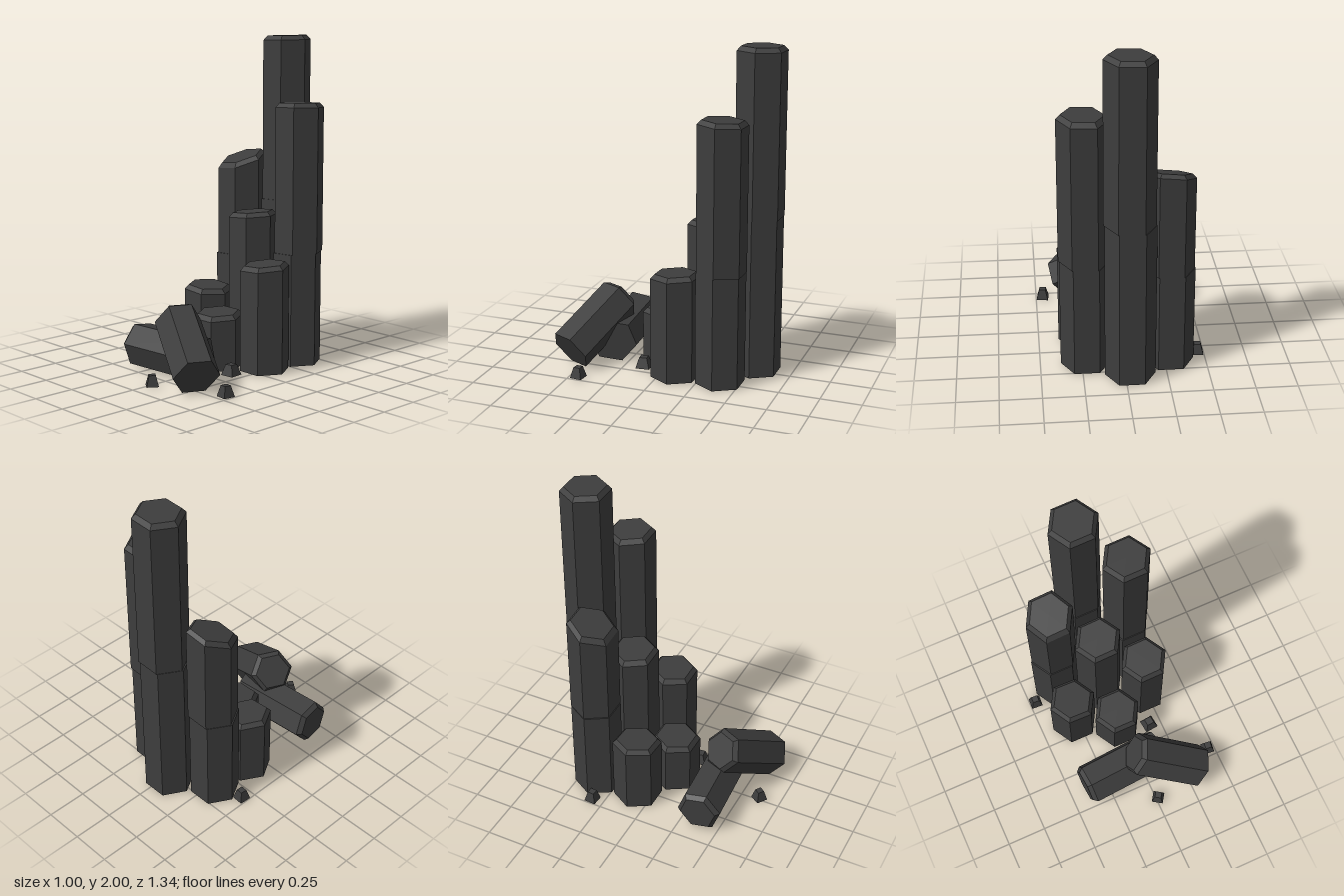
import * as THREE from 'three';

const basalt = new THREE.MeshStandardMaterial({ color: 0x3d3d3d });
basalt.name = 'dark basalt';

function facetedMesh(geometry, name) {
  const flat = geometry.toNonIndexed();
  flat.computeVertexNormals();
  const mesh = new THREE.Mesh(flat, basalt);
  mesh.name = name;
  return mesh;
}

// Hexagonal prism standing on y = 0; the top is chamfered and slopes by (topX, topZ),
// the base end slopes by baseX along its local x.
function hexPrism(name, { r = 0.152, h, bevel = 0.027, topX = 0, topZ = 0, baseX = 0 }) {
  const profile = [[0, 0], [r, 0], [r, h - bevel]];
  if (bevel > 0) profile.push([r - bevel * 0.95, h]);
  profile.push([0, h]);
  const geo = new THREE.LatheGeometry(
    profile.map(([x, y]) => new THREE.Vector2(x, y)), 6, Math.PI / 2);
  const p = geo.attributes.position;
  for (let i = 0; i < p.count; i++) {
    const x = p.getX(i), y = p.getY(i), z = p.getZ(i);
    p.setY(i, y > h / 2 ? y + x * topX + z * topZ : y + x * baseX);
  }
  return facetedMesh(geo, name);
}

export function createModel() {
  const model = new THREE.Group();
  model.name = 'basaltColumns';

  // Standing columns: x, z, height, top slope in x and z, height of the crack (0 = none)
  const columns = [
    ['backColumn', -0.025, -0.532, 1.995, 0.03, 0, 0.98],
    ['leftBackColumn', 0.23, -0.383, 1.603, 0.04, 0.04, 0.69],
    ['rightBackColumn', -0.272, -0.382, 1.235, 0.1, -0.31, 0.62],
    ['centreColumn', -0.025, -0.24, 0.927, 0.08, 0, 0],
    ['leftFrontColumn', 0.225, -0.095, 0.655, 0.05, -0.05, 0],
    ['rightFrontColumn', -0.275, -0.097, 0.445, -0.08, 0, 0],
    ['frontColumn', -0.027, 0.051, 0.34, 0, -0.05, 0],
  ];
  for (const [name, x, z, height, topX, topZ, crack] of columns) {
    const column = new THREE.Group();
    column.name = name;
    column.position.set(x, 0, z);
    if (crack) {
      const lower = hexPrism('lowerSegment', { h: crack, bevel: 0, topX: 0.04 });
      lower.position.set(-0.006, 0, 0.005);
      column.add(lower);
    }
    const upper = hexPrism('upperSegment', { h: height - crack, topX, topZ, baseX: crack ? 0.04 : 0 });
    upper.position.y = crack;
    column.add(upper);
    model.add(column);
  }

  // Fallen pieces: base centre, direction towards the chamfered end, roll about the axis
  function fallen(name, options, base, direction, roll) {
    const piece = hexPrism(name, { r: 0.14, ...options });
    const yAxis = new THREE.Vector3(...direction).normalize();
    const xAxis = new THREE.Vector3(0, 1, 0).cross(yAxis).normalize();
    const zAxis = xAxis.clone().cross(yAxis);
    piece.quaternion.setFromRotationMatrix(new THREE.Matrix4().makeBasis(xAxis, yAxis, zAxis));
    piece.rotateY(roll);
    piece.position.set(...base);
    model.add(piece);
  }
  fallen('fallenColumnLow', { h: 0.555, baseX: -0.25 }, [0.15, 0.13, 0.34], [-1, 0, 0.07], 0.17);
  fallen('fallenColumnLeaning', { h: 0.49 }, [0.33, 0.108, 0.55], [-0.77, 0.5, -0.37], 0);

  // Loose chips: x, z, half width, turn
  const chips = [
    [-0.46, -0.325, 0.037, -0.06],
    [0.172, 0.13, 0.043, 0.1],
    [0.457, 0.443, 0.037, -0.12],
    [0.015, 0.615, 0.036, -0.6],
  ];
  for (const [x, z, half, turn] of chips) {
    const r = half * Math.SQRT2;
    const chip = facetedMesh(
      new THREE.CylinderGeometry(r * 0.55, r, 0.066, 4, 1, false, Math.PI / 4), 'looseChip');
    chip.position.set(x, 0.033, z);
    chip.rotation.y = turn;
    model.add(chip);
  }
  return model;
}
